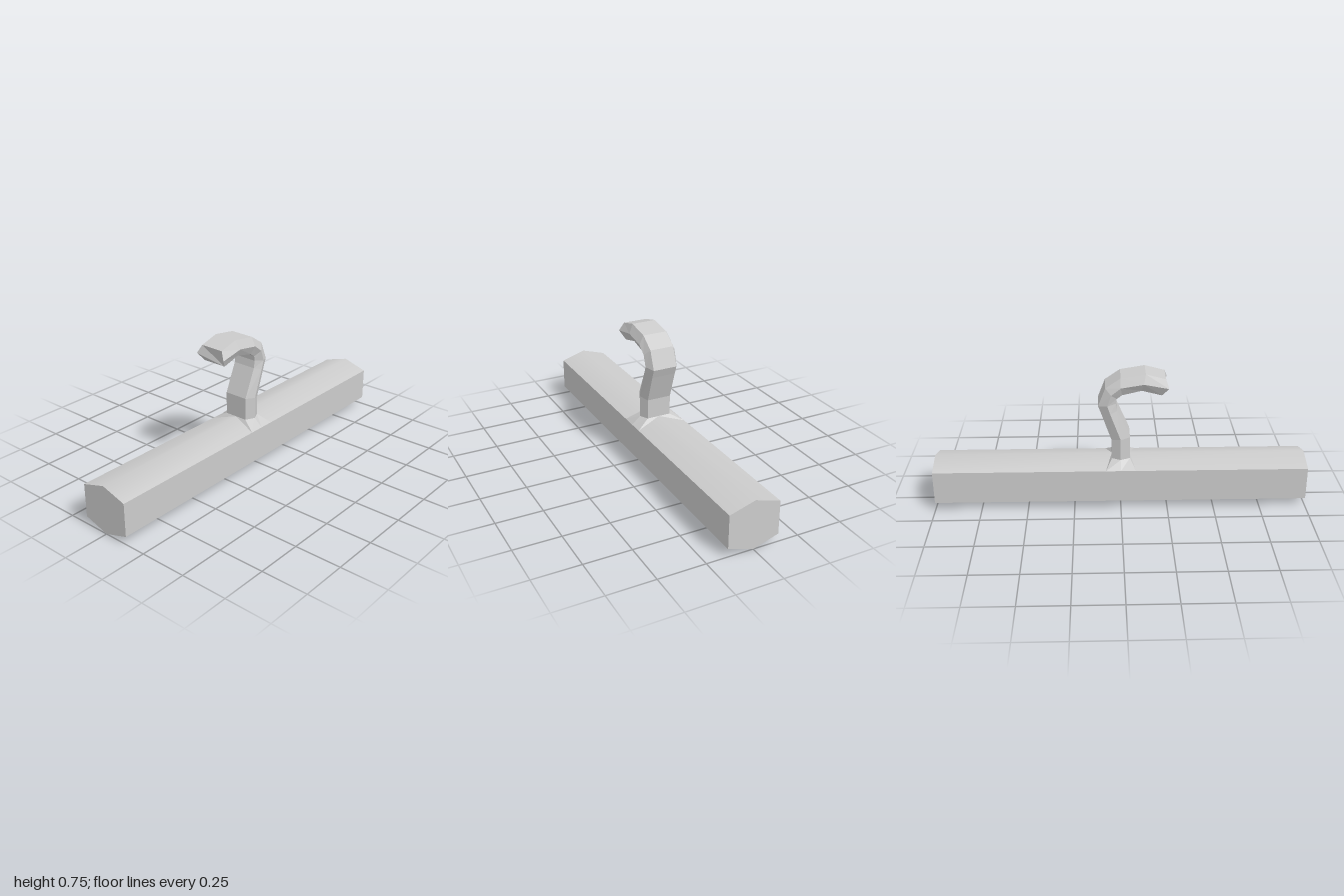
import * as THREE from 'three';
import { toCreasedNormals } from 'three/addons/utils/BufferGeometryUtils.js';

// Joins six-sided rings into a flat-faced skin, with an optional end cap.
function loft(rings, capped) {
  const pos = [];
  const tri = (a, b, c) => pos.push(...a, ...b, ...c);
  for (let i = 0; i < rings.length - 1; i++) {
    const lo = rings[i], hi = rings[i + 1];
    for (let j = 0; j < 6; j++) {
      const k = (j + 1) % 6;
      tri(lo[j], hi[j], lo[k]);
      tri(lo[k], hi[j], hi[k]);
    }
  }
  if (capped) {
    const end = rings[rings.length - 1];
    for (let j = 1; j < 5; j++) tri(end[0], end[j + 1], end[j]);
  }
  const geo = new THREE.BufferGeometry();
  geo.setAttribute('position', new THREE.Float32BufferAttribute(pos, 3));
  geo.computeVertexNormals();
  return geo;
}

// Six-sided ring from its inner, middle and outer points (x, y).
function ring([ix, iy, mx, my, ox, oy], edgeZ = 0.066, midZ = 0.09) {
  return [
    [ix, iy, edgeZ], [ix, iy, -edgeZ], [mx, my, -midZ],
    [ox, oy, -edgeZ], [ox, oy, edgeZ], [mx, my, midZ],
  ];
}

export function createModel() {
  const group = new THREE.Group();
  const add = (name, geo, flatShading) => {
    const mat = new THREE.MeshStandardMaterial({ color: 0xcccccc, flatShading });
    const mesh = new THREE.Mesh(geo, mat);
    mesh.name = name;
    group.add(mesh);
  };

  // Long hexagonal bar running along x
  const section = new THREE.Shape([
    [0, 0.002], [0.137, 0.045], [0.137, 0.225],
    [0, 0.267], [-0.137, 0.225], [-0.137, 0.045],
  ].map(([x, y]) => new THREE.Vector2(x, y)));
  const bar = new THREE.ExtrudeGeometry(section, { depth: 2, bevelEnabled: false });
  bar.translate(0, 0, -1).rotateY(Math.PI / 2);
  add('bar', toCreasedNormals(bar, 0.8), false);

  // Bent hook: inner, middle and outer points of each ring, from stem to tip
  const stemBase = [-0.05, 0.267, 0, 0.267, 0.046, 0.267];
  const hook = [
    stemBase,
    [-0.05, 0.39, 0, 0.385, 0.048, 0.375],
    [0.018, 0.545, 0.055, 0.535, 0.1, 0.525],
    [0.025, 0.585, 0.07, 0.58, 0.118, 0.572],
    [0.02, 0.612, 0.05, 0.64, 0.08, 0.672],
    [-0.008, 0.633, 0, 0.68, 0, 0.727],
    [-0.11, 0.657, -0.12, 0.7, -0.13, 0.748],
    [-0.215, 0.63, -0.25, 0.675, -0.235, 0.72],
  ];
  add('hook', loft(hook.map((p) => ring(p)), true), true);

  // Flared foot spreading from the stem to the shoulders of the bar
  const foot = [ring([-0.08, 0.225, 0, 0.225, 0.08, 0.225], 0.137, 0.137), ring(stemBase)];
  add('hookFoot', loft(foot, false), true);

  return group;
}
